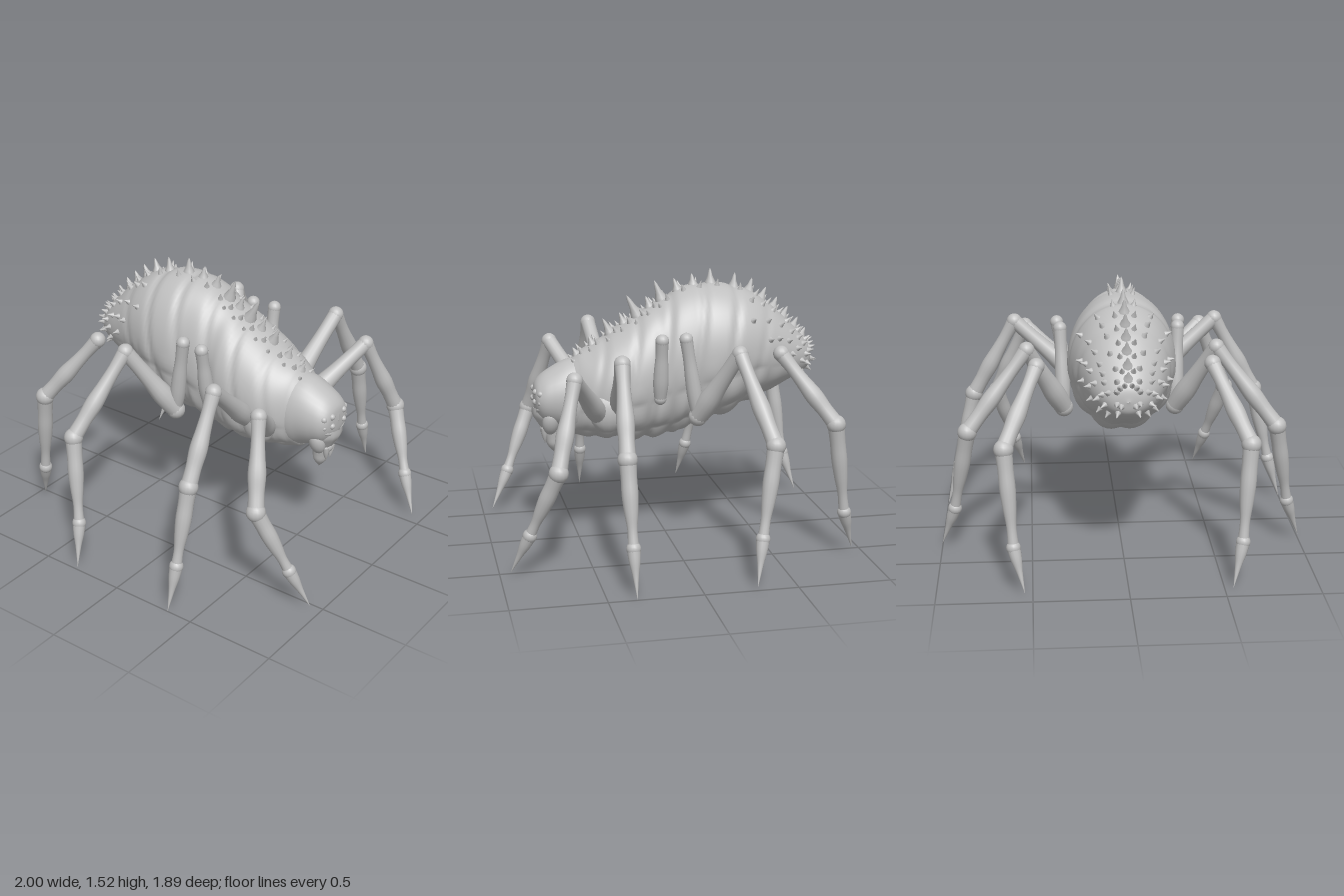
import * as THREE from 'three';
import { ParametricGeometry } from 'three/addons/geometries/ParametricGeometry.js';

const shell = new THREE.MeshStandardMaterial({ color: 0xbfbfbf });
shell.name = 'grey shell';
const V = (x, y, z) => new THREE.Vector3(x, y, z);
const UP = V(0, 1, 0);

function add(parent, name, geometry) {
  const mesh = new THREE.Mesh(geometry, shell);
  mesh.name = name;
  parent.add(mesh);
  return mesh;
}

function ball(parent, name, p, rx, ry = rx, rz = rx) {
  const m = add(parent, name, new THREE.SphereGeometry(1, 16, 12));
  m.position.copy(p);
  m.scale.set(rx, ry, rz);
  return m;
}

// Surface through oval stations [z, top, bottom, halfWidth], listed front to back
function makeLoft(stations, relief = () => 1) {
  const zs = new THREE.CatmullRomCurve3(stations.map(s => V(s[0], 0, 0)), false, 'catmullrom', 0.5);
  const sizes = new THREE.CatmullRomCurve3(stations.map(s => V(s[1], s[2], s[3])), false, 'catmullrom', 0.5);
  const a = new THREE.Vector3(), b = new THREE.Vector3();
  return (u, v, target) => {
    const t = Math.min(1, Math.max(0, v)), ang = u * Math.PI * 2;
    zs.getPoint(t, a);
    sizes.getPoint(t, b);
    const k = relief(ang, a.x);
    return target.set(Math.sin(ang) * b.z * k, (b.x + b.y) / 2 + Math.cos(ang) * (b.x - b.y) / 2 * k, a.x);
  };
}

// Round limb from a to b, radii spread evenly along it
function limb(parent, name, a, b, radii) {
  const d = b.clone().sub(a), len = d.length(), n = radii.length - 1;
  const curve = new THREE.SplineCurve(radii.map((r, i) => new THREE.Vector2(r, len * i / n)));
  const pts = curve.getPoints(n * 4).map(p => new THREE.Vector2(Math.max(p.x, 0), p.y));
  const m = add(parent, name, new THREE.LatheGeometry(pts, 14));
  m.position.copy(a);
  m.quaternion.setFromUnitVectors(UP, d.normalize());
  return m;
}

// Flared thorn growing along a direction
function thorn(parent, name, p, dir, r, h) {
  const prof = [[r, -0.2 * h], [r * 0.75, 0.1 * h], [r * 0.42, 0.4 * h], [r * 0.22, 0.8 * h], [0, h]];
  const m = add(parent, name, new THREE.LatheGeometry(prof.map(q => new THREE.Vector2(...q)), 8));
  m.position.copy(p);
  m.quaternion.setFromUnitVectors(UP, dir.clone().normalize());
}

const bodyStations = [
  [0.57, 0.86, 0.8, 0], [0.555, 1.0, 0.64, 0.13], [0.5, 1.07, 0.61, 0.175], [0.43, 1.11, 0.6, 0.22],
  [0.35, 1.16, 0.595, 0.25], [0.22, 1.24, 0.58, 0.265], [0.12, 1.3, 0.575, 0.265], [0.05, 1.34, 0.59, 0.245],
  [-0.03, 1.39, 0.6, 0.26], [-0.12, 1.425, 0.63, 0.265], [-0.22, 1.44, 0.66, 0.288], [-0.35, 1.43, 0.71, 0.285],
  [-0.48, 1.39, 0.775, 0.255], [-0.6, 1.31, 0.82, 0.22], [-0.7, 1.22, 0.87, 0.185], [-0.78, 1.14, 0.91, 0.135],
  [-0.825, 1.08, 0.95, 0.08], [-0.84, 1.01, 1.01, 0]];

// Shallow slanted folds on the back, lumps under the belly
function bodyRelief(ang, z) {
  const c = Math.cos(ang), fade = THREE.MathUtils.smoothstep(z, -0.75, -0.4) * THREE.MathUtils.smoothstep(0.56 - z, 0, 0.15);
  const fold = Math.pow(Math.abs(Math.cos((z + c * 0.07 - 0.05) * 17)), 10);
  const belly = THREE.MathUtils.smoothstep(-c, -0.1, 0.5);
  const lump = Math.abs(Math.sin(ang * 5)) * Math.abs(Math.sin(z * 23));
  return 1 + fade * (0.008 - 0.03 * fold + belly * (0.06 * lump - 0.025));
}

const bodySurface = makeLoft(bodyStations, bodyRelief);

// Point and outward normal on the body at depth z and angle from the top
function onBody(z, ang) {
  let i = 0;
  while (i < bodyStations.length - 2 && bodyStations[i + 1][0] > z) i++;
  const z0 = bodyStations[i][0], z1 = bodyStations[i + 1][0];
  const v = (i + (z0 - z) / (z0 - z1)) / (bodyStations.length - 1), u = ang / (2 * Math.PI), e = 0.004;
  const at = (p, q) => bodySurface(p, q, V(0, 0, 0));
  const du = at(u + e, v).sub(at(u - e, v)), dv = at(u, v + e).sub(at(u, v - e));
  return { p: at(u, v), n: du.cross(dv).normalize() };
}

function buildHead(g) {
  const surface = makeLoft([[0.745, 0.86, 0.84, 0], [0.735, 0.915, 0.76, 0.09], [0.7, 0.96, 0.7, 0.13],
    [0.64, 1.0, 0.67, 0.15], [0.57, 1.035, 0.645, 0.162], [0.5, 1.05, 0.62, 0.17], [0.42, 1.06, 0.64, 0.16]]);
  add(g, 'head', new ParametricGeometry(surface, 32, 28));
  limb(g, 'muzzle', V(0, 0.79, 0.655), V(0, 0.51, 0.63), [0.1, 0.1, 0.078, 0.055, 0.045, 0.035, 0]);
  ball(g, 'upperLip', V(0, 0.65, 0.685), 0.045, 0.03, 0.025);
  ball(g, 'noseRidge', V(0, 0.75, 0.715), 0.018, 0.06, 0.025);
  for (const s of [-1, 1]) {
    for (const [x, y, z, r] of [[0.055, 0.875, 0.735, 0.018], [0.1, 0.87, 0.713, 0.018],
      [0.055, 0.82, 0.738, 0.017], [0.1, 0.82, 0.715, 0.016]]) ball(g, 'eye', V(s * x, y, z), r);
    const brow = ball(g, 'browRidge', V(s * 0.055, 0.77, 0.712), 0.05, 0.017, 0.025);
    brow.rotation.z = s * 0.35;
    const cheek = ball(g, 'cheek', V(s * 0.075, 0.7, 0.66), 0.04, 0.075, 0.045);
    cheek.rotation.z = -s * 0.4;
    limb(g, 'fang', V(s * 0.03, 0.66, 0.69), V(s * 0.018, 0.57, 0.685), [0.018, 0.016, 0.01, 0]);
  }
}

// Knee, elbow, ankle and claw tip of each left leg; root only where it is attached
const legs = [
  { name: 'frontLeg', root: V(0.18, 0.75, 0.4), pts: [V(0.52, 1.04, 0.585), V(0.7, 0.6, 0.7), V(0.6, 0.24, 0.845), V(0.54, 0.02, 0.945)] },
  { name: 'secondLeg', root: V(0.19, 0.78, 0.29), pts: [V(0.58, 1.13, 0.345), V(0.825, 0.69, 0.365), V(0.925, 0.25, 0.355), V(1, 0, 0.35)] },
  { name: 'thirdLeg', root: V(0.31, 0.755, -0.12), pts: [V(0.51, 1.14, -0.3), V(0.835, 0.72, -0.41), V(0.92, 0.25, -0.325), V(1, 0.02, -0.28)] },
  { name: 'rearLeg', pts: [V(0.46, 1.12, -0.54), V(0.635, 0.76, -0.8), V(0.595, 0.25, -0.875), V(0.54, 0.02, -0.945)] }];

function buildLegs(side) {
  const g = new THREE.Group();
  g.name = side > 0 ? 'leftLegs' : 'rightLegs';
  const flip = p => V(p.x * side, p.y, p.z);
  for (const { name, root, pts } of legs) {
    const leg = new THREE.Group();
    leg.name = name;
    g.add(leg);
    const [knee, elbow, ankle, tip] = pts.map(flip);
    if (root) {
      limb(leg, 'thigh', flip(root), knee, [0.05, 0.058, 0.048, 0.042, 0.042]);
      ball(leg, 'hip', flip(root), 0.052);
    }
    ball(leg, 'knee', knee, 0.044);
    limb(leg, 'shin', knee, elbow, [0.042, 0.036, 0.04, 0.048, 0.042, 0.045]);
    ball(leg, 'elbow', elbow, 0.052);
    limb(leg, 'lowerShin', elbow, ankle, [0.046, 0.042, 0.043, 0.036, 0.026, 0.03]);
    ball(leg, 'ankle', ankle, 0.038);
    limb(leg, 'claw', ankle, tip, [0.036, 0.03, 0.018, 0.009, 0]);
  }
  // Short upright limbs folded against the flank
  for (const [a, b] of [[V(0.34, 1.19, 0.085), V(0.285, 0.86, 0.085)], [V(0.325, 1.19, -0.05), V(0.31, 0.755, -0.12)]]) {
    limb(g, 'foldedLimb', flip(a), flip(b), [0.036, 0.034, 0.04, 0.042, 0.032]);
    ball(g, 'foldedLimbTop', flip(a), 0.037);
    ball(g, 'foldedLimbEnd', flip(b), 0.034);
  }
  // Shoulder swelling that carries the two front legs
  ball(g, 'shoulder', flip(V(0.19, 0.78, 0.36)), 0.075, 0.12, 0.1);
  return g;
}

function buildThorns(g) {
  // Main crest [z, height], leaning slightly forward, with small pairs beside it
  const crest = [[0.5, 0.04], [0.41, 0.05], [0.31, 0.085], [0.235, 0.06], [0.16, 0.13], [0.09, 0.06], [0.02, 0.11],
    [-0.07, 0.065], [-0.16, 0.06], [-0.26, 0.08], [-0.39, 0.08], [-0.48, 0.07], [-0.55, 0.065], [-0.62, 0.06],
    [-0.68, 0.06], [-0.74, 0.055], [-0.79, 0.045]];
  crest.forEach(([z, h]) => {
    const { p, n } = onBody(z, 0);
    thorn(g, 'crestThorn', p, n.add(V(0, 0.5, 0.05)), 0.02 + h * 0.2, h);
    for (const s of [-1, 1]) {
      const q = onBody(z - 0.025, s * 0.2);
      thorn(g, 'sideThorn', q.p, q.n, 0.018, 0.04);
      if (z > 0) {
        const w = onBody(z + 0.02, s * 0.32);
        thorn(g, 'sideThorn', w.p, w.n, 0.014, 0.028);
      }
    }
  });
  // Rings of studs over the rear end
  [[-0.46, 2, 0.55, 1], [-0.54, 3, 0.5, 1.3], [-0.61, 4, 0.45, 1.6], [-0.68, 5, 0.45, 1.9], [-0.735, 5, 0.4, 2.2],
    [-0.78, 5, 0.5, 2.4], [-0.815, 4, 0.5, 2.6], [-0.833, 2, 0.8, 2.3]].forEach(([z, count, from, to], ring) => {
    for (let i = 0; i < count; i++) for (const s of [-1, 1]) {
      const ang = from + (to - from) * i / (count - 1);
      const { p, n } = onBody(z + 0.015 * Math.sin(i * 2.3 + ring), s * ang);
      thorn(g, 'rearStud', p, n, 0.02, 0.034);
    }
  });
}

export function createModel() {
  const model = new THREE.Group();
  model.name = 'spinyCreature';
  add(model, 'body', new ParametricGeometry(bodySurface, 72, 110));
  const head = new THREE.Group(), thorns = new THREE.Group();
  head.name = 'headGroup';
  thorns.name = 'thorns';
  buildHead(head);
  buildThorns(thorns);
  model.add(head, thorns, buildLegs(1), buildLegs(-1));
  return model;
}
